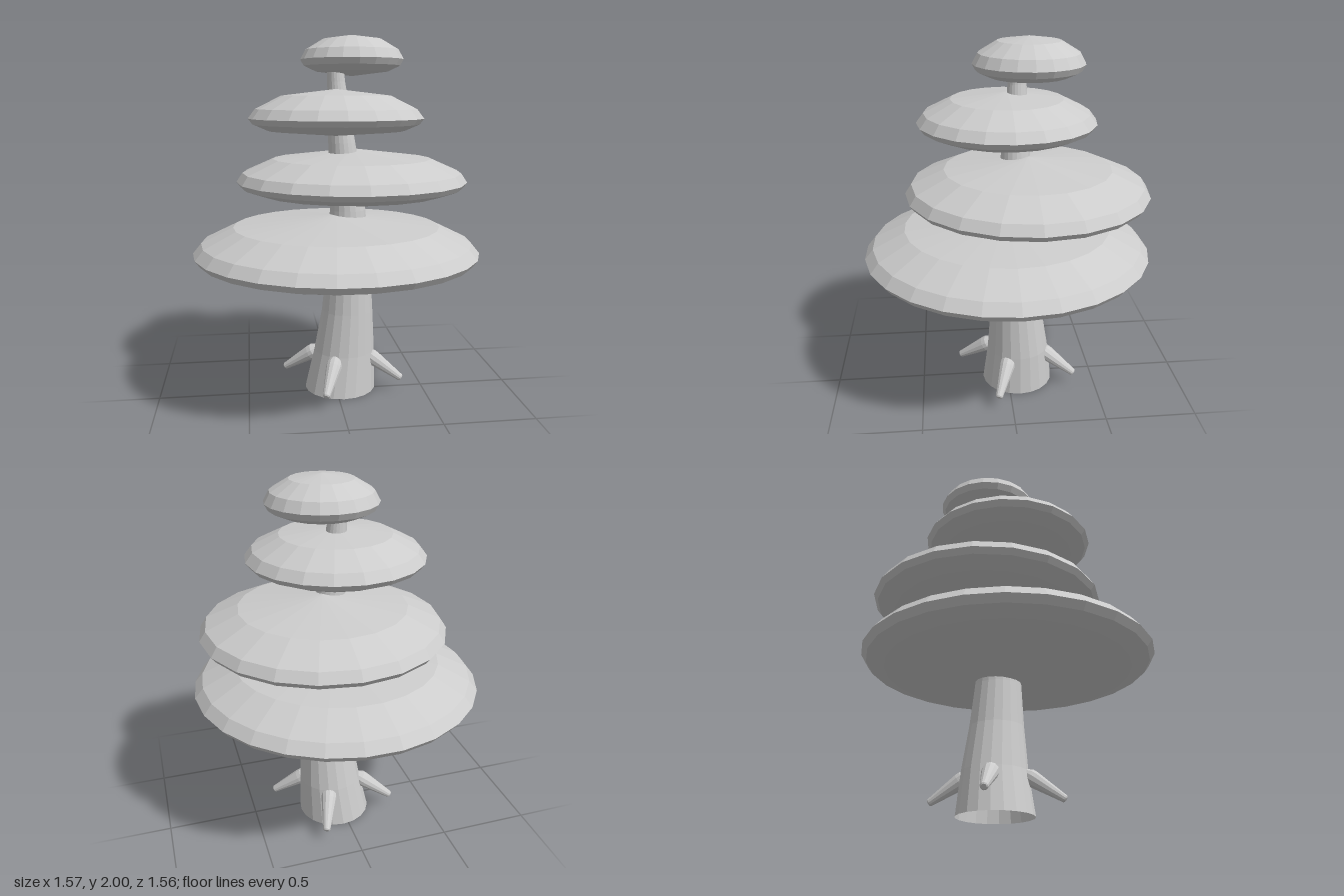
import * as THREE from 'three';

const grey = new THREE.MeshStandardMaterial({ color: 0xcccccc, flatShading: true, side: THREE.DoubleSide });
grey.name = 'pale grey';

// Foliage tiers: centre x/z, number of sides, half profile (radius, height) from bottom to top
const TIERS = [
  { x: 0, z: 0, sides: 26, profile: [[0, 0.71], [0.66, 0.763], [0.757, 0.793], [0.785, 0.83], [0.74, 0.885], [0.565, 0.97], [0, 1.03]] },
  { x: 0.1, z: -0.1, sides: 20, profile: [[0, 1.09], [0.52, 1.14], [0.62, 1.175], [0.643, 1.205], [0.61, 1.255], [0.44, 1.33], [0, 1.385]] },
  { x: 0, z: 0, sides: 20, profile: [[0, 1.46], [0.37, 1.49], [0.45, 1.525], [0.473, 1.555], [0.435, 1.605], [0.295, 1.675], [0, 1.71]] },
  { x: 0.1, z: -0.1, sides: 20, profile: [[0, 1.78], [0.2, 1.805], [0.265, 1.835], [0.284, 1.868], [0.255, 1.92], [0.16, 1.977], [0, 2]] },
];

// Trunk rings from the ground up: height, centre x, centre z, radius
const RINGS = [
  [0, 0.03, -0.057, 0.202],
  [0.23, 0.055, -0.057, 0.174],
  [0.47, 0.07, -0.045, 0.146],
  [0.7, 0.075, -0.037, 0.127],
  [1.05, 0.07, -0.037, 0.1],
  [1.42, 0.037, -0.042, 0.075],
  [1.75, 0.007, -0.052, 0.049],
  [1.86, 0, -0.054, 0.044],
];

// Open tapering tube whose rings follow the leaning trunk
function trunkGeometry(sides = 20) {
  const last = RINGS.length - 1;
  const geometry = new THREE.CylinderGeometry(1, 1, last, sides, last, true);
  const p = geometry.attributes.position;
  for (let i = 0; i < p.count; i++) {
    const [y, cx, cz, r] = RINGS[Math.round(p.getY(i) + last / 2)];
    p.setXYZ(i, cx + p.getX(i) * r, y, cz + p.getZ(i) * r);
  }
  geometry.computeVertexNormals();
  return geometry;
}

// Tapered peg between two points with a rounded inner end
function stubGeometry(from, to) {
  const length = from.distanceTo(to);
  const outline = [[0, -0.015], [0.03, -0.005], [0.043, 0.025], [0.043, 0.05], [0.02, length - 0.006], [0.014, length], [0, length]];
  const geometry = new THREE.LatheGeometry(outline.map(([r, y]) => new THREE.Vector2(r, y)), 12);
  const direction = to.clone().sub(from).normalize();
  geometry.applyQuaternion(new THREE.Quaternion().setFromUnitVectors(new THREE.Vector3(0, 1, 0), direction));
  return geometry.translate(from.x, from.y, from.z);
}

export function createModel() {
  const group = new THREE.Group();
  group.name = 'tree';
  const add = (name, geometry) => {
    const mesh = new THREE.Mesh(geometry, grey);
    mesh.name = name;
    group.add(mesh);
    return mesh;
  };

  add('trunk', trunkGeometry());

  // Four broken branch stubs around the base, sloping down
  for (let i = 0; i < 4; i++) {
    const angle = 0.375 + i * Math.PI / 2;
    const at = (d, y) => new THREE.Vector3(0.04 + Math.cos(angle) * d, y, -0.05 + Math.sin(angle) * d);
    add(`branchStub${i + 1}`, stubGeometry(at(0.15, 0.21), at(0.35, 0.08)));
  }

  // Flattened foliage tiers, with corners on the x axis
  TIERS.forEach(({ x, z, sides, profile }, i) => {
    const points = profile.map(([r, y]) => new THREE.Vector2(r, y));
    const tier = add(`foliageTier${i + 1}`, new THREE.LatheGeometry(points, sides, Math.PI / 2));
    tier.position.set(x, 0, z);
  });

  return group;
}
